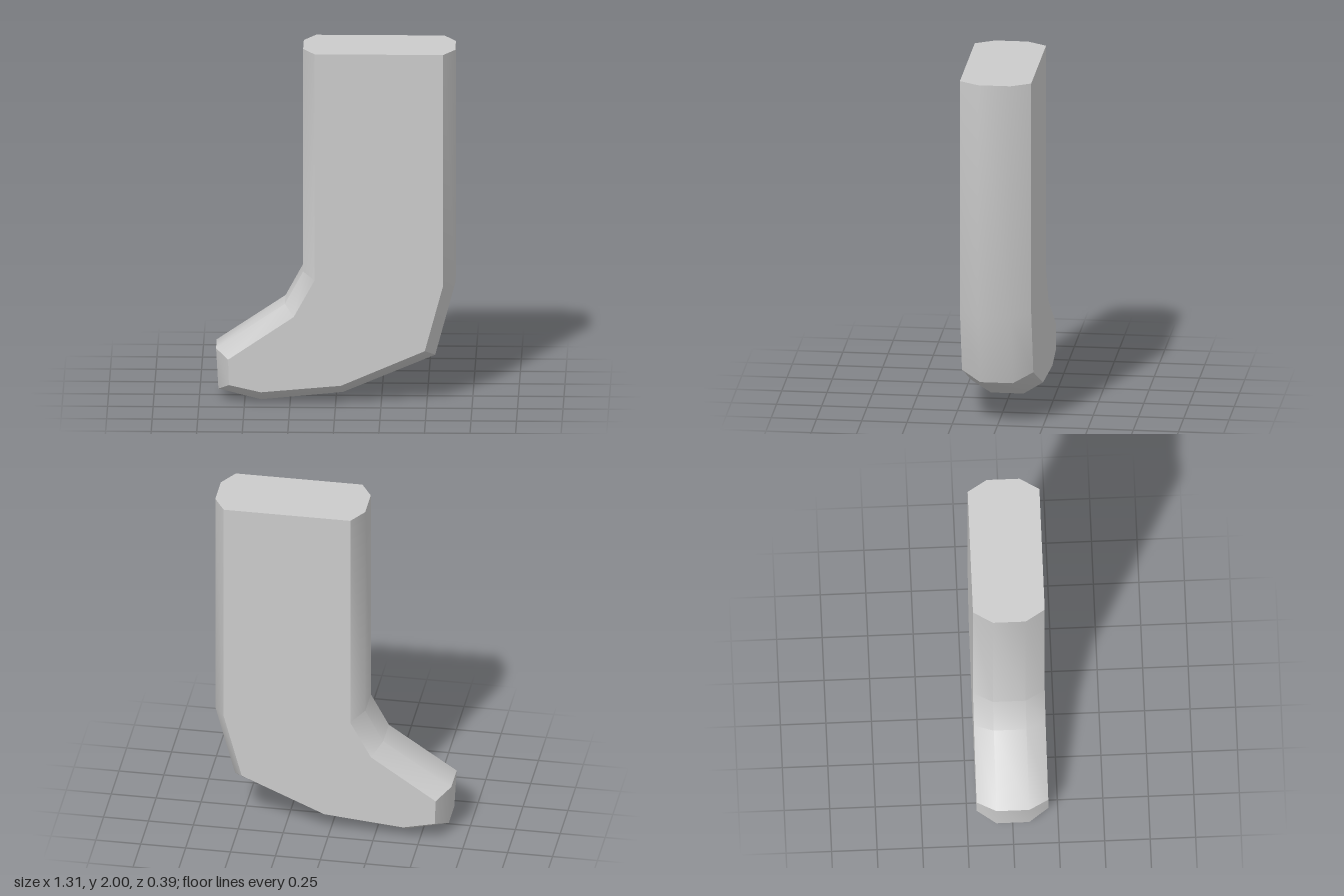
import * as THREE from 'three';
import { toCreasedNormals } from 'three/addons/utils/BufferGeometryUtils.js';

// Side outline, counter-clockwise: [rim x, rim y, side face x, side face y]
const OUTLINE = [
  [0.655, 2, 0.59, 2],             // top, back of the leg
  [-0.18, 2, -0.115, 2],           // top, front of the leg
  [-0.18, 0.73, -0.115, 0.71],     // ankle
  [-0.28, 0.545, -0.23, 0.50],     // instep
  [-0.658, 0.29, -0.59, 0.255],    // toe top
  [-0.645, 0.06, -0.585, 0.11],    // toe bottom
  [-0.41, 0, -0.41, 0.07],         // ball of the foot
  [0.04, 0.045, 0.03, 0.11],       // arch
  [0.545, 0.26, 0.49, 0.31],       // heel
  [0.655, 0.67, 0.59, 0.68],       // back of the ankle
];

function bootGeometry() {
  const n = OUTLINE.length;
  const rim = OUTLINE.map(([x, y]) => new THREE.Vector2(x, y));
  const face = OUTLINE.map(([, , x, y]) => new THREE.Vector2(x, y));

  // Four outlines from back to front, bevelled towards both sides
  const rings = [[face, -0.197], [rim, -0.09], [rim, 0.09], [face, 0.197]];
  const positions = rings.flatMap(([pts, z]) => pts.flatMap((p) => [p.x, p.y, z]));

  const index = [];
  for (let r = 0; r < rings.length - 1; r++) {
    for (let i = 0; i < n; i++) {
      const a = r * n + i, b = r * n + (i + 1) % n;
      index.push(a, b, b + n, a, b + n, a + n);
    }
  }

  // Flat side faces
  for (const [a, b, c] of THREE.ShapeUtils.triangulateShape(face, [])) {
    index.push(c, b, a);
    index.push(a + 3 * n, b + 3 * n, c + 3 * n);
  }

  const geometry = new THREE.BufferGeometry();
  geometry.setAttribute('position', new THREE.Float32BufferAttribute(positions, 3));
  geometry.setIndex(index);
  return toCreasedNormals(geometry, 0.7);
}

export function createModel() {
  const model = new THREE.Group();
  model.name = 'bootLeg';
  const boot = new THREE.Mesh(bootGeometry(), new THREE.MeshStandardMaterial({ color: 0xcccccc }));
  boot.name = 'legAndFoot';
  model.add(boot);
  return model;
}
